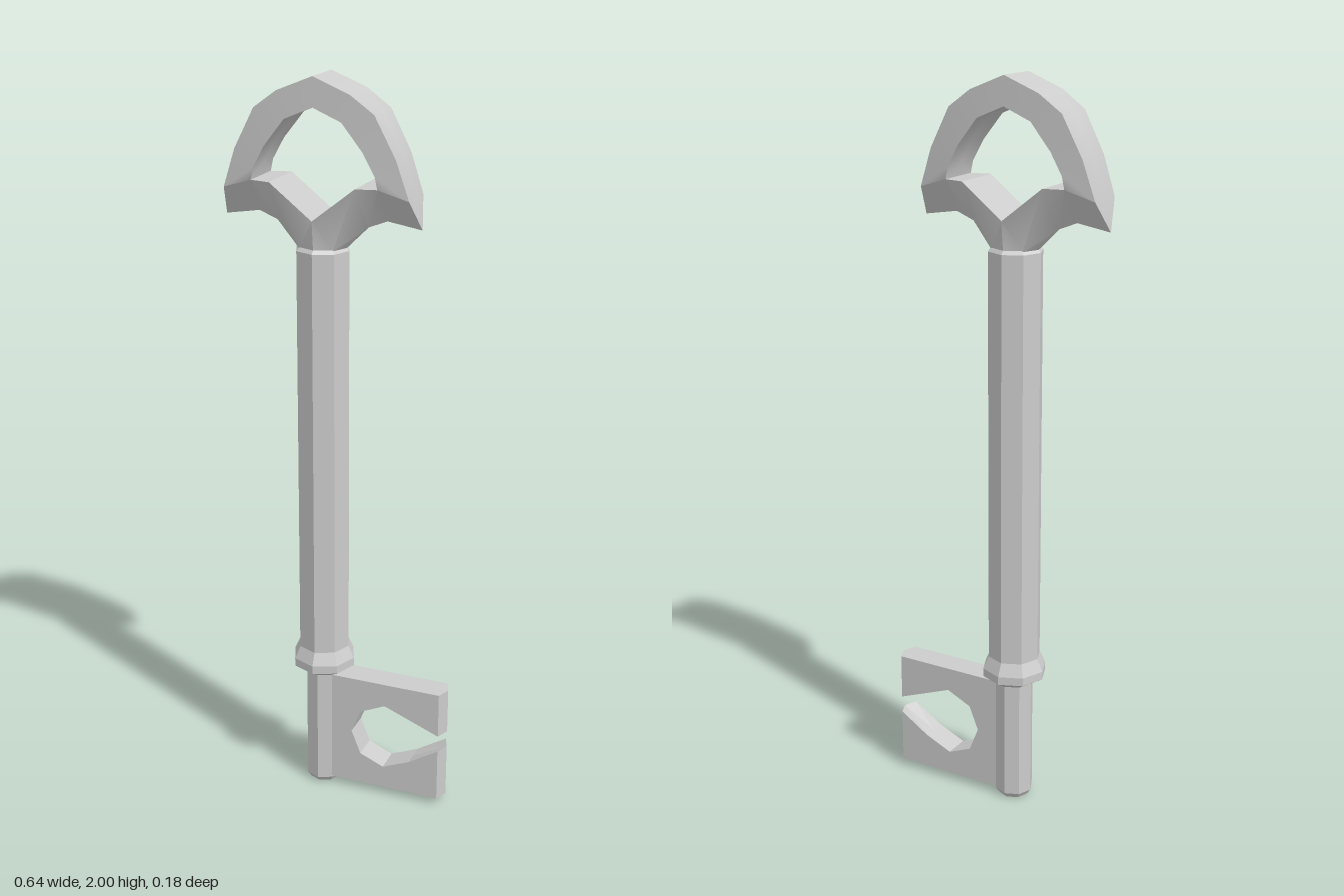
import * as THREE from 'three';
import { toCreasedNormals } from 'three/addons/utils/BufferGeometryUtils.js';

const AXIS = -0.05; // x of the shaft

// Eight-sided turned part from [radius, height] pairs, bottom to top
function turned(name, profile, material) {
  const geo = new THREE.LatheGeometry(profile.map(([r, y]) => new THREE.Vector2(r, y)), 8);
  const mesh = new THREE.Mesh(geo, material);
  mesh.name = name;
  mesh.position.x = AXIS;
  return mesh;
}

// Notched plate with a wedge-shaped outer edge
function makeBit(material) {
  const outline = [
    [-0.05, 0.02], [0.318, 0.02], [0.318, 0.173], [0.22, 0.12], [0.142, 0.086], [0.074, 0.115],
    [0.047, 0.183], [0.074, 0.25], [0.145, 0.283], [0.237, 0.25], [0.318, 0.221],
    [0.318, 0.35], [-0.05, 0.35],
  ];
  const shape = new THREE.Shape(outline.map(([x, y]) => new THREE.Vector2(x, y)));
  const geo = new THREE.ExtrudeGeometry(shape, { depth: 0.074, steps: 2, bevelEnabled: false });
  geo.translate(0, 0, -0.037);
  const p = geo.attributes.position;
  for (let i = 0; i < p.count; i++) {
    if (p.getX(i) > 0.31 && Math.abs(p.getZ(i)) > 0.03) p.setX(i, 0.303);
  }
  geo.computeVertexNormals();
  const mesh = new THREE.Mesh(geo, material);
  mesh.name = 'bit';
  return mesh;
}

// Bow: one quarter is described, then mirrored in x and z
function makeBow(material) {
  const pos = [];
  const tri = (a, b, c) => {
    for (const sx of [1, -1]) {
      for (const sz of [1, -1]) {
        const order = sx * sz > 0 ? [a, b, c] : [a, c, b];
        for (const [x, y, z] of order) pos.push(x * sx, y, z * sz);
      }
    }
  };
  const quad = (a, b, c, d) => { tri(a, b, c); tri(a, c, d); };
  const mid = ([x, y]) => [x, y, 0];
  const upper = (a, b) => quad(a, b, mid(b), mid(a));
  const lower = (a, b) => quad(mid(a), mid(b), b, a);

  // Arch, from the crown down to the side
  const outer = [[0, 2, 0.062], [0.097, 1.961, 0.062], [0.16, 1.916, 0.06], [0.216, 1.81, 0.057], [0.25, 1.71, 0.053]];
  const inner = [[0, 1.925, 0.064], [0.076, 1.893, 0.064], [0.132, 1.823, 0.063], [0.163, 1.767, 0.062], [0.17, 1.735, 0.062]];
  for (let i = 0; i < 4; i++) {
    quad(inner[i], inner[i + 1], outer[i + 1], outer[i]);
    upper(outer[i], outer[i + 1]);
    lower(inner[i], inner[i + 1]);
  }

  // Forked base: flat on top, narrowing to a ridge underneath
  const neck = [[0, 1.565, 0.064], [0.045, 1.565, 0.045], [0.064, 1.565, 0]];
  const valley = [0, 1.645, 0.073], crest = [0.115, 1.735, 0.073];
  const ridge = [[0.125, 1.625, 0], [0.175, 1.645, 0]], tip = [0.268, 1.63, 0];
  tri(neck[0], neck[1], valley);
  tri(neck[1], crest, valley);
  quad(neck[1], neck[2], ridge[0], crest);
  quad(ridge[0], ridge[1], inner[4], crest);
  quad(ridge[1], tip, outer[4], inner[4]);
  tri(outer[4], tip, mid(outer[4]));
  upper(valley, crest);
  upper(crest, inner[4]);

  const geo = new THREE.BufferGeometry();
  geo.setAttribute('position', new THREE.Float32BufferAttribute(pos, 3));
  const mesh = new THREE.Mesh(toCreasedNormals(geo, 0.6), material);
  mesh.name = 'bow';
  mesh.position.x = AXIS;
  return mesh;
}

export function createModel() {
  const flat = new THREE.MeshStandardMaterial({ color: 0xcccccc, flatShading: true });
  const smooth = new THREE.MeshStandardMaterial({ color: 0xcccccc });
  const group = new THREE.Group();
  group.name = 'key';
  group.add(
    turned('stem', [[0, 0], [0.042, 0], [0.053, 0.016], [0.053, 0.37]], flat),
    turned('collar', [[0.053, 0.35], [0.089, 0.372], [0.089, 0.395], [0.073, 0.43]], flat),
    turned('shaft', [[0.073, 0.42], [0.073, 1.56], [0.064, 1.57], [0, 1.57]], flat),
    makeBit(flat),
    makeBow(smooth),
  );
  return group;
}
